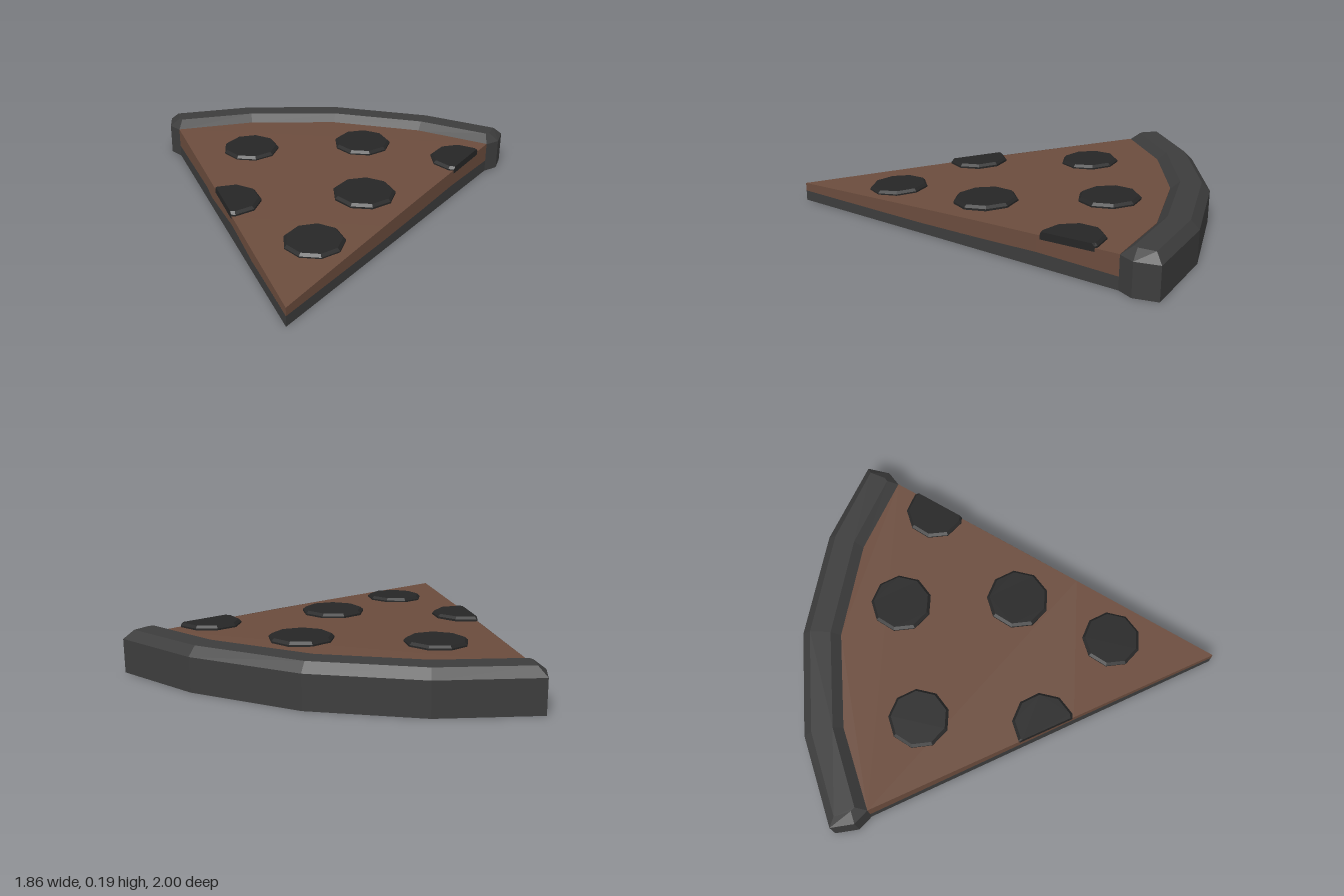
import * as THREE from 'three';

const TIP = 1, HALF = 27.7;
const ANGLES = [HALF, 15.2, 0, -14.7, -HALF]; // right edge of the plan to the left
const SLOPE = Math.tan(THREE.MathUtils.degToRad(HALF));

const material = (color) => new THREE.MeshStandardMaterial({ color, flatShading: true });
const CRUST = material(0x3c3c3c), CHEESE = material(0x6b4c3d), TOPPING = material(0x262626);

// Plan point [x, z] on a circle around the tip of the slice
function polar(r, deg) {
  const a = THREE.MathUtils.degToRad(deg);
  return [r * Math.sin(a), TIP - r * Math.cos(a)];
}

// Linear interpolation through [position, value] pairs
function ramp(pairs, t) {
  for (let i = 1; i < pairs.length; i++) {
    const [a, u] = pairs[i - 1], [b, v] = pairs[i];
    if (t <= b) return u + (v - u) * (t - a) / (b - a);
  }
  return pairs[pairs.length - 1][1];
}

// Height of the cheese, rising from the tip to the crust
const surface = (z) => ramp([[0, 0.09], [0.25, 0.107], [0.42, 0.122], [0.62, 0.136], [0.78, 0.142], [1, 0.157], [1.2, 0.16]], (TIP - z) / 1.6);

// Places a plan outline at a height, given as a number or a rule
const level = (plan, y) => plan.map(([x, z], i) => [x, typeof y === 'function' ? y(x, z, i) : y, z]);

// Closed solid through stacked rings of equal length, each anticlockwise from above
function stack(name, rings, mat) {
  const n = rings[0].length, index = [], last = (rings.length - 1) * n;
  for (let k = 0; k < last; k += n) {
    for (let i = 0; i < n; i++) {
      const j = (i + 1) % n;
      index.push(k + i, k + j, k + n + j, k + i, k + n + j, k + n + i);
    }
  }
  const cap = (ring) => THREE.ShapeUtils.triangulateShape(ring.map((p) => new THREE.Vector2(p[0], -p[2])), []);
  for (const [a, b, c] of cap(rings[0])) index.push(a, c, b);
  for (const [a, b, c] of cap(rings[rings.length - 1])) index.push(last + a, last + b, last + c);
  const g = new THREE.BufferGeometry();
  g.setAttribute('position', new THREE.Float32BufferAttribute(rings.flat(2), 3));
  g.setIndex(index);
  const flat = g.toNonIndexed();
  flat.computeVertexNormals();
  const mesh = new THREE.Mesh(flat, mat);
  mesh.name = name;
  return mesh;
}

// Nine-sided disc, cut off where it passes the side of the slice
function pepperoni(cx, cz, r) {
  const side = Math.sign(cx) || 1;
  const over = ([x, z]) => side * x - (TIP - z) * SLOPE - 0.002;
  const full = [];
  for (let i = 0; i < 9; i++) {
    const a = i * Math.PI * 2 / 9;
    full.push([cx - r * Math.sin(a), cz - r * Math.cos(a)]);
  }
  const plan = [], cuts = [];
  full.forEach((p, i) => {
    const q = full[(i + 1) % 9], dp = over(p), dq = over(q);
    if (dp <= 0) plan.push(p);
    if (dp * dq < 0) {
      const t = dp / (dp - dq), c = [p[0] + (q[0] - p[0]) * t, p[1] + (q[1] - p[1]) * t];
      plan.push(c);
      cuts.push(c);
    }
  });
  // The top is a little smaller; cut corners slide along the cut
  const mid = cuts.length ? [(cuts[0][0] + cuts[1][0]) / 2, (cuts[0][1] + cuts[1][1]) / 2] : null;
  const top = plan.map((p) => {
    const o = cuts.includes(p) ? mid : [cx, cz];
    return [o[0] + (p[0] - o[0]) * 0.91, o[1] + (p[1] - o[1]) * 0.91];
  });
  return stack('pepperoni', [
    level(plan, (x, z) => surface(z) - 0.015),
    level(plan, (x, z) => surface(z) + 0.008),
    level(top, (x, z) => surface(z) + 0.02),
  ], TOPPING);
}

// Crust outline: outer arc, bulged end, inner arc, bulged end
function crustPlan(outer, inner, half, bulge) {
  const at = (r) => ANGLES.map((a) => polar(r, Math.abs(a) === HALF ? Math.sign(a) * half : a));
  const [bx, bz] = bulge;
  return [...at(outer), [-bx, bz], ...at(inner).reverse(), [bx, bz]];
}

export function createModel() {
  const group = new THREE.Group();
  group.name = 'pizzaSlice';

  // Raised crust with a bevelled top
  const foot = crustPlan(2, 1.815, HALF, [0.907, -0.66]);
  const ridge = crustPlan(1.96, 1.86, 26.8, [0.856, -0.675]);
  group.add(stack('crust', [level(foot, 0), level(foot, 0.155), level(ridge, 0.195)], CRUST));

  // Wedge outline: arc, left side, tip, right side
  const steps = [0.25, 0.42, 0.62, 0.78];
  const wedge = [
    ...ANGLES.map((a) => polar(1.815, a)),
    ...[...steps].reverse().map((s) => polar(1.815 * s, -HALF)),
    [0, TIP],
    ...steps.map((s) => polar(1.815 * s, HALF)),
  ];

  // Dough below and cheese above meet along a wavy line
  const seam = (x, z) => x < 0
    ? ramp([[0, 0.05], [0.25, 0.05], [0.42, 0.075], [0.62, 0.052], [1, 0.06]], (TIP - z) / 1.6)
    : ramp([[0, 0.05], [0.5, 0.05], [0.78, 0.066], [1, 0.06]], (TIP - z) / 1.6);
  group.add(stack('dough', [level(wedge, 0), level(wedge, seam)], CRUST));
  group.add(stack('cheese', [level(wedge, seam), level(wedge, (x, z) => surface(z))], CHEESE));

  // Scattered toppings, two of them cut by the sides
  for (const [x, z, r] of [
    [-0.4, -0.405, 0.145], [0.18, -0.535, 0.148], [0.69, -0.405, 0.145],
    [0.235, 0.035, 0.153], [-0.39, 0.18, 0.147], [0.05, 0.5, 0.142],
  ]) group.add(pepperoni(x, z, r));

  return group;
}
